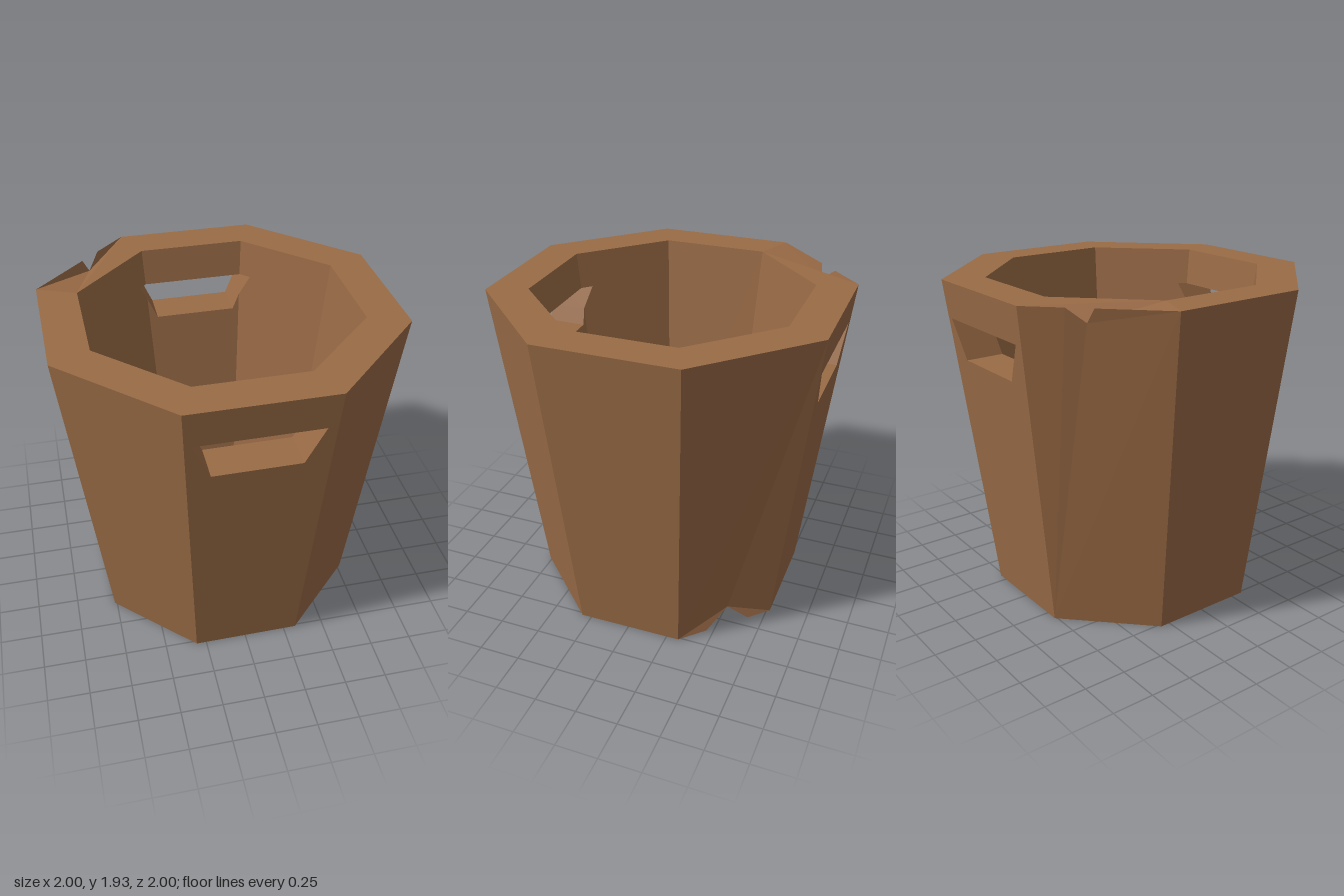
import * as THREE from 'three';

const TOP = 1.935, FLOOR = 0.2, WALL = 0.247;
const V = (x, y, z) => new THREE.Vector3(x, y, z);
const outerR = y => 0.83 + 0.1282 * y;
const innerR = y => outerR(y) - WALL;

// Corner k of the slightly turned octagon at height y
function corner(k, y, radius) {
  const a = THREE.MathUtils.degToRad(23.05 + 45 * k);
  return V(radius(y) * Math.sin(a), y, radius(y) * Math.cos(a));
}

// Point on side panel q at a given x and y
function onPanel(q, x, y, radius) {
  const p = new THREE.Plane().setFromCoplanarPoints(
    corner(q - 1, 0, radius), corner(q, 0, radius), corner(q, TOP, radius));
  return V(x, y, -(p.constant + p.normal.x * x + p.normal.y * y) / p.normal.z);
}

// Triangulate one polygon (with holes) so that it faces along the hint
function face(out, pts, hint, holes = []) {
  const n = V(0, 0, 0);
  pts.forEach((p, i) => n.add(p.clone().cross(pts[(i + 1) % pts.length])));
  n.normalize();
  if (n.dot(hint) < 0) n.negate();
  const u = V(n.y, n.z, n.x).cross(n).normalize(), v = n.clone().cross(u);
  const flat = list => list.map(p => new THREE.Vector2(p.dot(u), p.dot(v)));
  const all = [pts, ...holes].flat();
  for (const tri of THREE.ShapeUtils.triangulateShape(flat(pts), holes.map(flat))) {
    const [a, b, c] = tri.map(i => all[i]);
    const dir = b.clone().sub(a).cross(c.clone().sub(a)).dot(n);
    out.push(...(dir < 0 ? [a, c, b] : [a, b, c]));
  }
}

export function createModel() {
  const group = new THREE.Group();
  const wood = new THREE.MeshStandardMaterial({ color: 0x9a6b46 });
  wood.name = 'brown wood';

  const addPart = (name, points) => {
    const geo = new THREE.BufferGeometry().setFromPoints(points);
    geo.computeVertexNormals();
    const mesh = new THREE.Mesh(geo, wood);
    mesh.name = name;
    group.add(mesh);
  };

  // Outer edge of panel p, with a chip in one top edge and one bottom edge
  const edge = (p, y) => {
    const a = corner(p - 1, y, outerR), b = corner(p, y, outerR);
    const chip = (t0, t1, t2, dy, inset) => {
      const tip = a.clone().lerp(b, t1);
      tip.set(tip.x * (1 - inset), tip.y + dy, tip.z * (1 - inset));
      return [a, a.clone().lerp(b, t0), tip, a.clone().lerp(b, t2), b];
    };
    if (p === 5 && y === TOP) return chip(0.3, 0.43, 0.48, -0.08, 0.015);
    if (p === 3 && y === 0) return chip(0.3, 0.55, 0.75, 0.11, 0.04);
    return [a, b];
  };

  // Handle opening: a trapezoid cut straight through along z
  const LOW = 1.485, HIGH = 1.715, HALF_LOW = 0.25, HALF_HIGH = 0.355;
  const halfAt = y => HALF_LOW + (HALF_HIGH - HALF_LOW) * (y - LOW) / (HIGH - LOW);
  // Where a slanted handle side meets the inner corner of the bucket
  const crossing = side => {
    const k = side > 0 ? 0 : -1;
    const gap = y => side * corner(k, y, innerR).x - halfAt(y);
    return corner(k, LOW + (HIGH - LOW) * gap(LOW) / (gap(LOW) - gap(HIGH)), innerR);
  };
  const cut = side => [
    onPanel(0, side * HALF_LOW, LOW, innerR), crossing(side),
    onPanel(side, side * HALF_HIGH, HIGH, innerR), corner(side > 0 ? 0 : -1, HIGH, innerR)];
  const right = cut(1), left = cut(-1);
  const profile = [...right, ...left.slice().reverse()];
  const mouth = [0, 2, 5, 7].map(i => onPanel(0, profile[i].x, profile[i].y, outerR));

  const outer = [], inner = [], rim = [], handles = [];
  for (const s of [1, -1]) {
    const turn = list => list.map(p => V(p.x * s, p.y, p.z * s));

    for (const q of [-1, 0, 1, 2]) {
      const p = (q + (s > 0 ? 8 : 4)) % 8;
      const mid = corner(q - 0.5, 0, outerR);
      const outward = V(mid.x * s, 0, mid.z * s), inward = outward.clone().negate();

      // Outer panel and the rim above it
      face(outer, [...edge(p, 0), ...edge(p, TOP).reverse()], outward,
        q === 0 ? [turn(mouth)] : []);
      face(rim, [...edge(p, TOP), corner(p, TOP, innerR), corner(p - 1, TOP, innerR)], V(0, 1, 0));

      // Inner panel, cut around the handle opening
      const [b0, b1, t1, t0] = [[q - 1, FLOOR], [q, FLOOR], [q, TOP], [q - 1, TOP]]
        .map(([k, y]) => corner(k, y, innerR));
      if (q === 0) {
        face(inner, turn([b0, b1, right[1], right[0], left[0], left[1]]), inward);
        face(inner, turn([left[3], right[3], t1, t0]), inward);
      } else if (q === 1) {
        face(inner, turn([b0, b1, t1, t0, right[3], right[2], right[1]]), inward);
      } else if (q === -1) {
        face(inner, turn([b0, b1, left[1], left[2], left[3], t1, t0]), inward);
      } else {
        face(inner, turn([b0, b1, t1, t0]), inward);
      }
    }

    // Walls of the handle opening through the thickness
    profile.forEach((a, i) => {
      const b = profile[(i + 1) % profile.length];
      const hint = V(-s * (a.x + b.x) / 2, 1.6 - (a.y + b.y) / 2, 0);
      face(handles, turn([a, b, onPanel(0, b.x, b.y, outerR), onPanel(0, a.x, a.y, outerR)]), hint);
    });
  }
  addPart('outerWall', outer);
  addPart('innerWall', inner);
  addPart('rim', rim);
  addPart('handleOpenings', handles);

  // Inside floor and underside
  const panels = [0, 1, 2, 3, 4, 5, 6, 7];
  const floor = [], base = [];
  face(floor, panels.map(k => corner(k, FLOOR, innerR)), V(0, 1, 0));
  face(base, panels.flatMap(p => edge(p, 0).slice(1)), V(0, -1, 0));
  addPart('floor', floor);
  addPart('base', base);
  return group;
}
